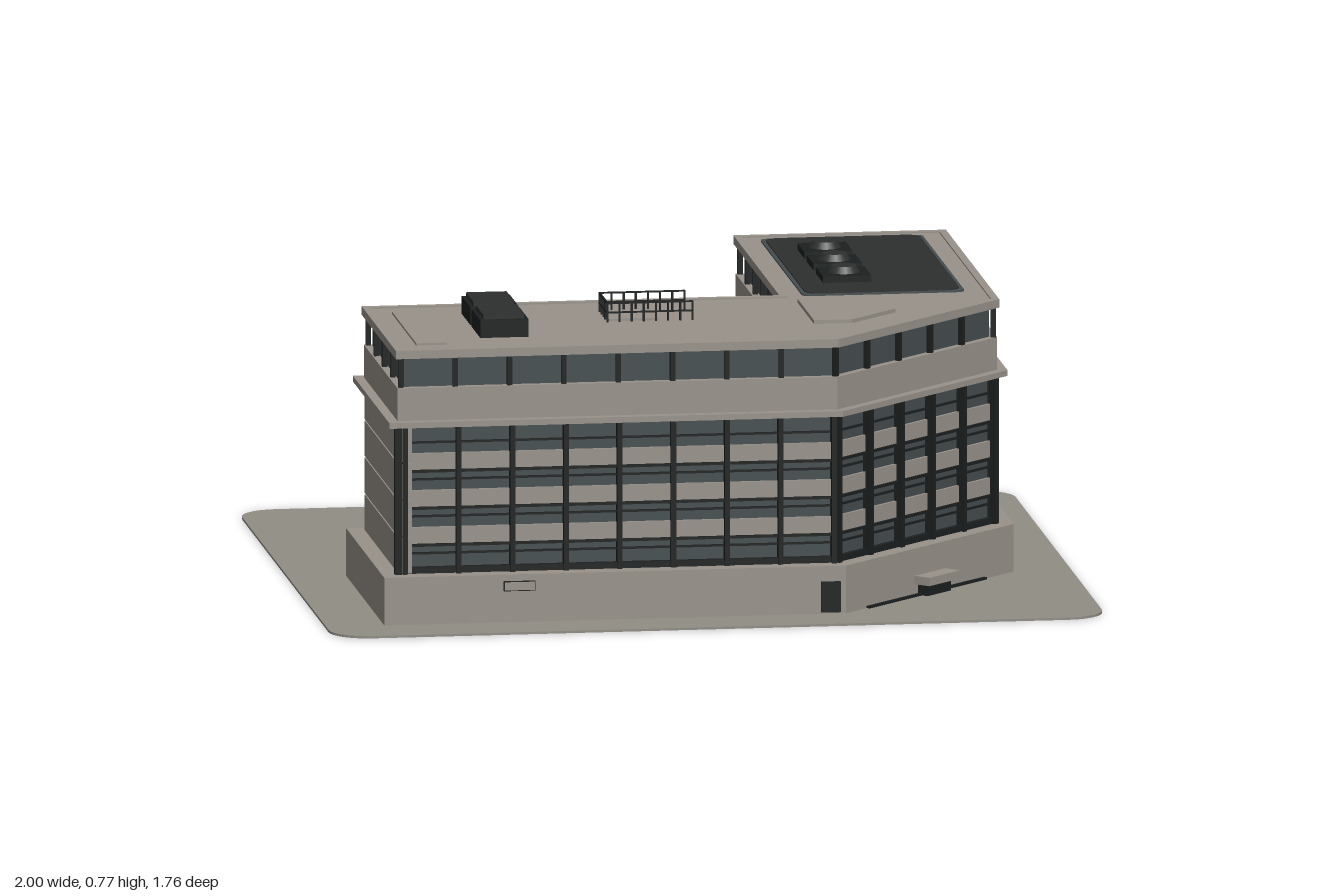
import * as THREE from 'three';

const mat = (name, color) => {
  const m = new THREE.MeshStandardMaterial({ color });
  m.name = name;
  return m;
};

export function createModel() {
  const root = new THREE.Group();
  const stone = mat('stone', 0x98928a);
  const paving = mat('paving', 0x918d85);
  const glass = mat('dark glass', 0x454d4f);
  const black = mat('black metal', 0x1c1f1f);
  const tar = mat('dark roofing', 0x2d2e2e);

  const add = (name, geo, m, parent = root) => {
    const mesh = new THREE.Mesh(geo, m);
    mesh.name = name;
    parent.add(mesh);
    return mesh;
  };
  const box = (name, w, h, d, x, y, z, m, parent = root) => {
    const b = add(name, new THREE.BoxGeometry(w, h, d), m, parent);
    b.position.set(x, y, z);
    return b;
  };
  // Block spanning two x, y and z limits
  const span = (name, x0, x1, y0, y1, z0, z1, m) =>
    box(name, x1 - x0, y1 - y0, z1 - z0, (x0 + x1) / 2, (y0 + y1) / 2, (z0 + z1) / 2, m);
  // Upright prism from a plan of [x, z] points, with an optional hole
  const prism = (name, plan, y0, y1, m, hole) => {
    const pts = p => p.map(([x, z]) => new THREE.Vector2(x, -z));
    const shape = new THREE.Shape(pts(plan));
    if (hole) shape.holes.push(new THREE.Path(pts(hole)));
    const g = new THREE.ExtrudeGeometry(shape, { depth: y1 - y0, bevelEnabled: false });
    g.rotateX(-Math.PI / 2).translate(0, y0, 0);
    return add(name, g, m);
  };
  const roundedPlan = (x0, x1, z0, z1, r, n = 8) => {
    const out = [];
    [[x1 - r, z1 - r], [x0 + r, z1 - r], [x0 + r, z0 + r], [x1 - r, z0 + r]].forEach(([cx, cz], q) => {
      for (let i = 0; i <= n; i++) {
        const a = (q + i / n) * Math.PI / 2;
        out.push([cx + r * Math.cos(a), cz + r * Math.sin(a)]);
      }
    });
    return out;
  };
  // L-shaped plan with one cut corner, grown outward by o
  const plan = o => [
    [-0.79 - o, 0.11 - o], [-0.79 - o, 0.68 + o], [0.32 + 0.414 * o, 0.68 + o],
    [0.79 + o, 0.21 + 0.414 * o], [0.79 + o, -0.72 - o], [0.29 - o, -0.72 - o], [0.29 - o, 0.11 - o]];
  // Group on wall i: local x runs along the wall, local z points outward
  const wall = (name, i, o = 0) => {
    const p = plan(o), [ax, az] = p[i], [bx, bz] = p[(i + 1) % 7];
    const g = new THREE.Group();
    g.name = name;
    g.position.set((ax + bx) / 2, 0, (az + bz) / 2);
    g.rotation.y = Math.atan2(az - bz, bx - ax);
    root.add(g);
    return { g, len: Math.hypot(bx - ax, bz - az) };
  };

  // Ground plate and main masses
  prism('groundPlate', roundedPlan(-1, 1, -0.88, 0.88, 0.1), 0, 0.006, paving);
  prism('plinth', plan(0.06), 0.006, 0.13, stone);
  prism('glassCore', plan(0), 0.13, 0.515, glass);
  prism('cornice', plan(0.045), 0.515, 0.53, stone);
  prism('atticBand', plan(0.02), 0.53, 0.615, stone);
  prism('topGlazing', plan(0), 0.615, 0.692, glass);
  prism('roofSlab', plan(0.025), 0.692, 0.71, stone);
  prism('roofCoping', plan(0.025), 0.71, 0.714, stone, plan(0.005));

  // Glazed street fronts: spandrels, rails and fins
  [[1, 8], [2, 5], [3, 7]].forEach(([i, bays]) => {
    const { g, len } = wall('streetFront', i);
    for (let k = 1; k < 4; k++) {
      const y = 0.13 + k * 0.0963;
      box('spandrel', len + 0.006, 0.046, 0.016, 0, y, 0, stone, g);
      box('rail', len + 0.01, 0.007, 0.03, 0, y - 0.023, 0, black, g);
    }
    for (let k = 0; k < 4; k++) box('transom', len, 0.005, 0.016, 0, 0.181 + k * 0.0963, 0, black, g);
    box('sill', len, 0.016, 0.03, 0, 0.138, 0, black, g);
    for (let k = 0; k <= bays; k++)
      box('fin', 0.013, 0.385, 0.05, (k / bays - 0.5) * len, 0.3225, 0, black, g);
  });

  // Stone side and courtyard walls: coursed panels with window strips [centre, width]
  const strips = { 0: [], 4: [[0, 0.26]], 5: [[-0.19, 0.3]], 6: [[0.42, 0.1], [0.505, 0.04]] };
  for (const i in strips) {
    const { g, len } = wall('stoneWall', +i);
    for (let k = 0; k < 4; k++) {
      const y = 0.13 + (k + 0.5) * 0.0963;
      box('stoneCourse', len + 0.036, 0.092, 0.036, 0, y, 0, stone, g);
      strips[i].forEach(([x, w]) => {
        box('stripWindow', w, 0.054, 0.006, x, y, 0.0195, glass, g);
        box('windowSill', w + 0.01, 0.005, 0.012, x, y - 0.029, 0.022, black, g);
      });
    }
  }
  [1, 4, 5].forEach(i => {
    const [x, z] = plan(0.018)[i];
    box('cornerPost', 0.018, 0.385, 0.018, x, 0.3225, z, black);
  });

  // Slim posts around the top storey
  for (let i = 0; i < 7; i++) {
    const { g, len } = wall('topPosts', i, 0.01);
    const n = Math.round(len / 0.145);
    for (let k = 0; k < n; k++) box('topPost', 0.013, 0.077, 0.013, (k / n - 0.5) * len, 0.653, 0, black, g);
  }

  // Courtyard pavilion
  span('pavilionGlass', -0.575, 0.28, 0.006, 0.258, -0.23, 0.1, glass);
  span('pavilionCanopy', -0.67, 0.23, 0.256, 0.274, -0.33, 0.06, stone);
  span('pavilionUpperWall', -0.59, 0.28, 0.274, 0.44, -0.245, 0.1, stone);
  span('pavilionClerestory', -0.585, 0.28, 0.44, 0.492, -0.24, 0.1, glass);
  span('pavilionRoof', -0.6, 0.28, 0.492, 0.51, -0.255, 0.1, stone);
  for (let k = 0; k < 8; k++) {
    const x = -0.65 + k * 0.121;
    add('canopyColumn', new THREE.CylinderGeometry(0.009, 0.009, 0.25, 10), black).position.set(x, 0.131, -0.31);
    if (x < 0.2) span('mullion', x + 0.08, x + 0.086, 0.006, 0.256, -0.236, -0.23, black);
  }
  for (let k = 1; k < 4; k++) {
    add('canopyColumn', new THREE.CylinderGeometry(0.009, 0.009, 0.25, 10), black).position.set(-0.65, 0.131, -0.31 + k * 0.11);
    span('mullion', -0.581, -0.575, 0.006, 0.256, -0.23 + k * 0.08, -0.224 + k * 0.08, black);
  }
  [0.18, -0.21, -0.46].forEach(x => {
    box('smallWindow', 0.06, 0.08, 0.008, x, 0.355, -0.247, glass);
    box('smallWindowHood', 0.07, 0.008, 0.024, x, 0.399, -0.253, stone);
  });
  // Pavilion skylight with sloped faces
  const sky = add('skylight', new THREE.CylinderGeometry(0.6, 1, 1, 4, 1).toNonIndexed(), tar);
  sky.geometry.rotateY(Math.PI / 4).scale(0.127, 0.03, 0.082);
  sky.geometry.computeVertexNormals();
  sky.position.set(-0.18, 0.525, -0.08);

  // Dark roof field with three fans
  prism('roofFieldEdge', roundedPlan(0.325, 0.745, -0.685, 0.09, 0.02), 0.709, 0.714, glass);
  prism('roofField', roundedPlan(0.335, 0.735, -0.675, 0.08, 0.035), 0.71, 0.717, tar);
  [-0.45, -0.28, -0.11].forEach(z => {
    box('fanBase', 0.125, 0.018, 0.125, 0.46, 0.725, z, black);
    add('fanDrum', new THREE.CylinderGeometry(0.032, 0.042, 0.018, 20), tar).position.set(0.46, 0.742, z);
  });

  // Rooftop cooling units
  [0.29, 0.47].forEach(z => {
    box('coolingUnit', 0.125, 0.046, 0.16, -0.512, 0.735, z, black);
    box('coolingUnitLid', 0.105, 0.012, 0.14, -0.512, 0.763, z, tar);
  });

  // Roof hatch with guard rail
  span('hatch', -0.215, -0.085, 0.71, 0.716, 0.235, 0.36, stone);
  const rail = (w, d, x, z) => [0.735, 0.759].forEach(y => box('guardRail', w, 0.004, d, x, y, z, black));
  rail(0.22, 0.005, -0.11, 0.225);
  rail(0.22, 0.005, -0.11, 0.37);
  rail(0.005, 0.145, -0.22, 0.2975);
  for (let k = 0; k <= 7; k++)
    [0.225, 0.37].forEach(z => box('guardPost', 0.005, 0.05, 0.005, -0.22 + k * 0.0314, 0.735, z, black));
  for (let k = 1; k < 4; k++) box('guardPost', 0.005, 0.05, 0.005, -0.22, 0.735, 0.225 + k * 0.036, black);

  // Low roof curbs
  prism('cornerCurb', [[0.3, 0.17], [0.53, 0.17], [0.53, 0.34], [0.4, 0.47], [0.3, 0.47]], 0.71, 0.72, stone,
    [[0.315, 0.185], [0.515, 0.185], [0.515, 0.334], [0.394, 0.455], [0.315, 0.455]]);
  span('endCurb', -0.75, -0.67, 0.709, 0.716, 0.18, 0.62, stone);

  // Street door, corner bench and plinth vents
  span('streetDoor', 0.28, 0.33, 0.01, 0.09, 0.735, 0.746, black);
  const { g: corner } = wall('cornerEntrance', 2, 0.06);
  box('benchSeat', 0.13, 0.022, 0.05, 0, 0.048, 0.022, stone, corner);
  box('benchBase', 0.1, 0.03, 0.03, 0, 0.022, 0.015, black, corner);
  box('cornerStep', 0.5, 0.006, 0.012, -0.02, 0.009, 0.004, black, corner);
  [0.17, -0.12, -0.41, -0.7].forEach(z => {
    box('ventFrame', 0.006, 0.026, 0.082, 0.85, 0.1, z, black);
    box('ventPanel', 0.01, 0.021, 0.077, 0.85, 0.1, z, stone);
  });
  box('ventFrame', 0.082, 0.026, 0.006, -0.5, 0.1, 0.74, black);
  box('ventPanel', 0.077, 0.021, 0.01, -0.5, 0.1, 0.74, stone);

  return root;
}
